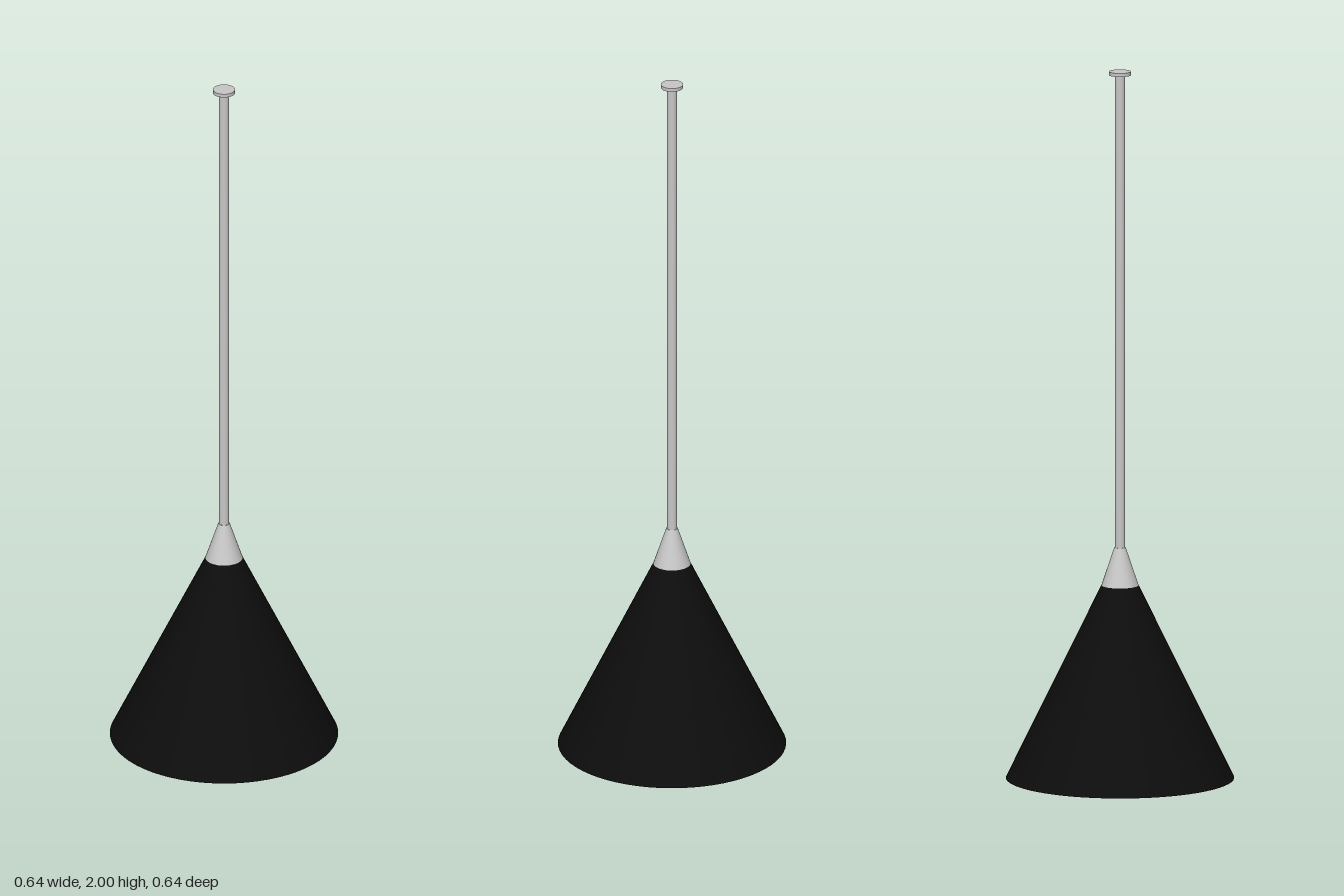
import * as THREE from 'three';

export function createModel() {
  const model = new THREE.Group();
  const material = (name, color) => {
    const m = new THREE.MeshStandardMaterial({ color });
    m.name = name;
    return m;
  };
  const black = material('black', 0x0d0d0d);
  const silver = material('silver', 0xc8c8c8);
  const diffuserGrey = material('diffuser grey', 0xc8c8c8);

  const add = (name, geometry, mat, y = 0) => {
    const mesh = new THREE.Mesh(geometry, mat);
    mesh.name = name;
    mesh.position.y = y;
    model.add(mesh);
    return mesh;
  };
  // Band of a surface of revolution between two [radius, height] points
  const band = (a, b, sides = 64) =>
    new THREE.LatheGeometry([a, b].map(p => new THREE.Vector2(...p)), sides);

  // Conical shade: outer wall, flat rim and recessed inner wall
  add('shadeOuter', band([0.318, 0], [0.052, 0.545]), black);
  add('shadeRim', band([0.275, 0], [0.318, 0]), black);
  add('shadeRecess', band([0.234, 0.05], [0.275, 0]), black);

  // Light diffuser set inside the shade, facing down
  const diffuser = add('diffuser', new THREE.CircleGeometry(0.234, 64), diffuserGrey, 0.05);
  diffuser.rotation.x = Math.PI / 2;

  // Metal collar, hanging rod and ceiling cap
  add('collar', new THREE.CylinderGeometry(0.016, 0.052, 0.107, 32), silver, 0.5985);
  add('rod', new THREE.CylinderGeometry(0.0145, 0.0145, 1.345, 24), silver, 1.3225);
  add('ceilingCap', new THREE.CylinderGeometry(0.031, 0.031, 0.01, 32), silver, 1.995);

  return model;
}
